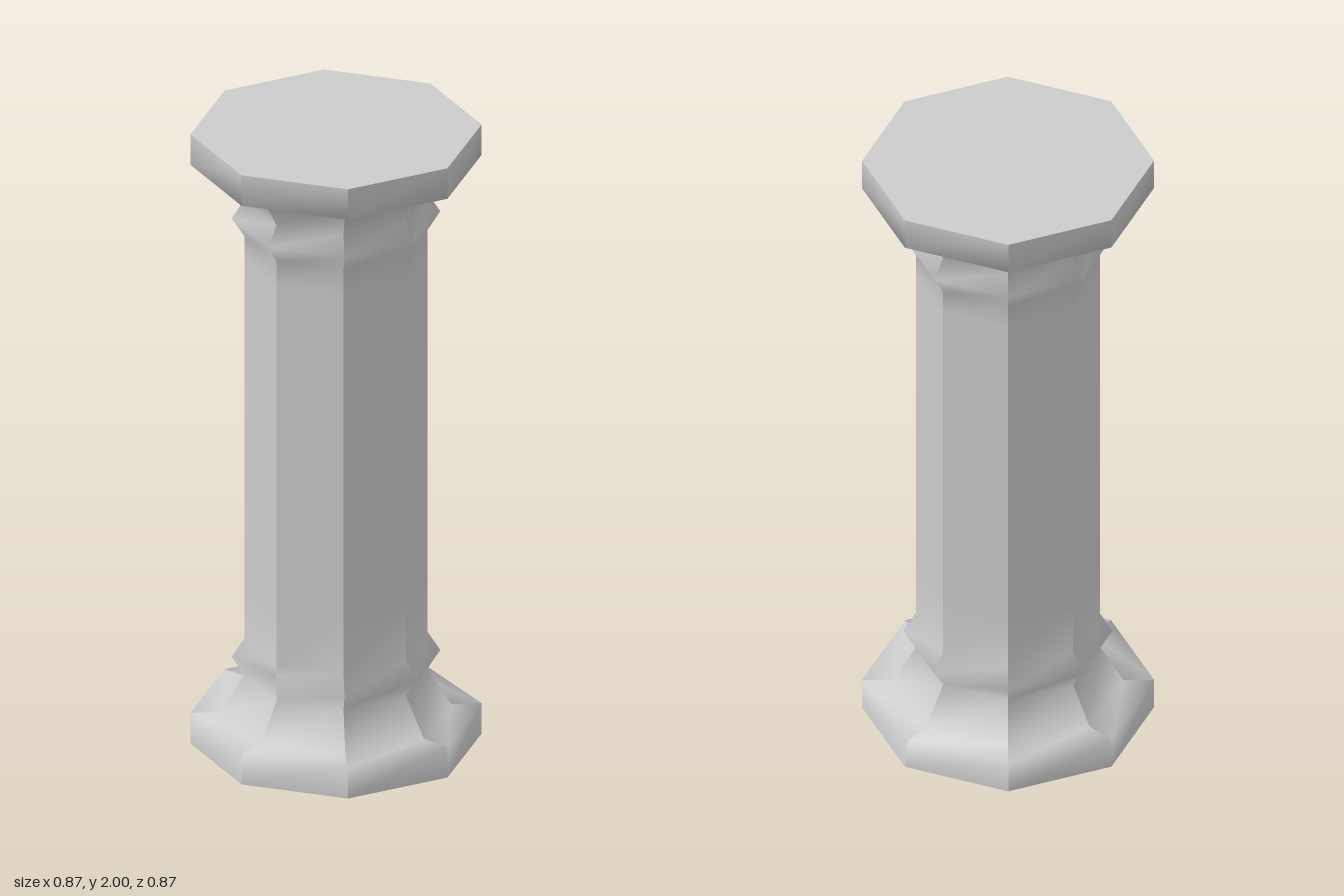
import * as THREE from 'three';

const SIDES = 8;
const PLATE_R = 0.437;

// Lower half of the silhouette as [radius, height]; the upper half mirrors it.
const FOOT = [
  [PLATE_R, 0], [PLATE_R, 0.1], [0.345, 0.1], [0.275, 0.22], [0.313, 0.28], [0.275, 0.34],
];
const SHAFT = [[0.275, 0.52], [0.275, 1.19], [0.275, 1.58]];
const PROFILE = [...FOOT, ...SHAFT, ...FOOT.map(([r, y]) => [r, 2 - y]).reverse()];

// Worn spots: corner index (counted from +x towards +z), profile row, offset.
const CHIPS = [
  { corner: 1, row: 7, offset: [0.004, 0, -0.05] }, // nick in the shaft edge
  { corner: 3, row: 4, offset: [0.025, 0.02, -0.025] }, // dented lower ring
  { corner: 7, row: 1, offset: [-0.008, -0.012, 0.008] }, // worn base plate corner
];

function cornerPoint(corner, row) {
  const c = corner % SIDES;
  const a = (c / SIDES) * Math.PI * 2;
  const [r, y] = PROFILE[row];
  const p = new THREE.Vector3(Math.cos(a) * r, y, Math.sin(a) * r);
  const chip = CHIPS.find((k) => k.corner === c && k.row === row);
  if (chip) p.add(new THREE.Vector3(...chip.offset));
  return p;
}

// Each facet has its own vertices: sharp upright edges, smooth along the profile.
function columnGeometry() {
  const positions = [];
  const index = [];
  for (let s = 0; s < SIDES; s++) {
    const start = positions.length / 3;
    for (let row = 0; row < PROFILE.length; row++) {
      positions.push(...cornerPoint(s, row).toArray(), ...cornerPoint(s + 1, row).toArray());
      if (row === 0) continue;
      const a = start + (row - 1) * 2;
      index.push(a, a + 2, a + 1, a + 1, a + 2, a + 3);
    }
  }
  const geometry = new THREE.BufferGeometry();
  geometry.setAttribute('position', new THREE.Float32BufferAttribute(positions, 3));
  geometry.setIndex(index);
  geometry.computeVertexNormals();
  return geometry;
}

export function createModel() {
  const group = new THREE.Group();
  group.name = 'octagonalColumn';
  const material = new THREE.MeshStandardMaterial({ color: 0xcccccc });

  // Base, shaft and capital as one continuous skin
  const body = new THREE.Mesh(columnGeometry(), material);
  body.name = 'columnBody';
  group.add(body);

  // Flat top and bottom faces
  for (const [name, y, tilt] of [['topFace', 2, -1], ['bottomFace', 0, 1]]) {
    const face = new THREE.Mesh(new THREE.CircleGeometry(PLATE_R, SIDES), material);
    face.name = name;
    face.rotation.x = (tilt * Math.PI) / 2;
    face.position.y = y;
    group.add(face);
  }
  return group;
}
